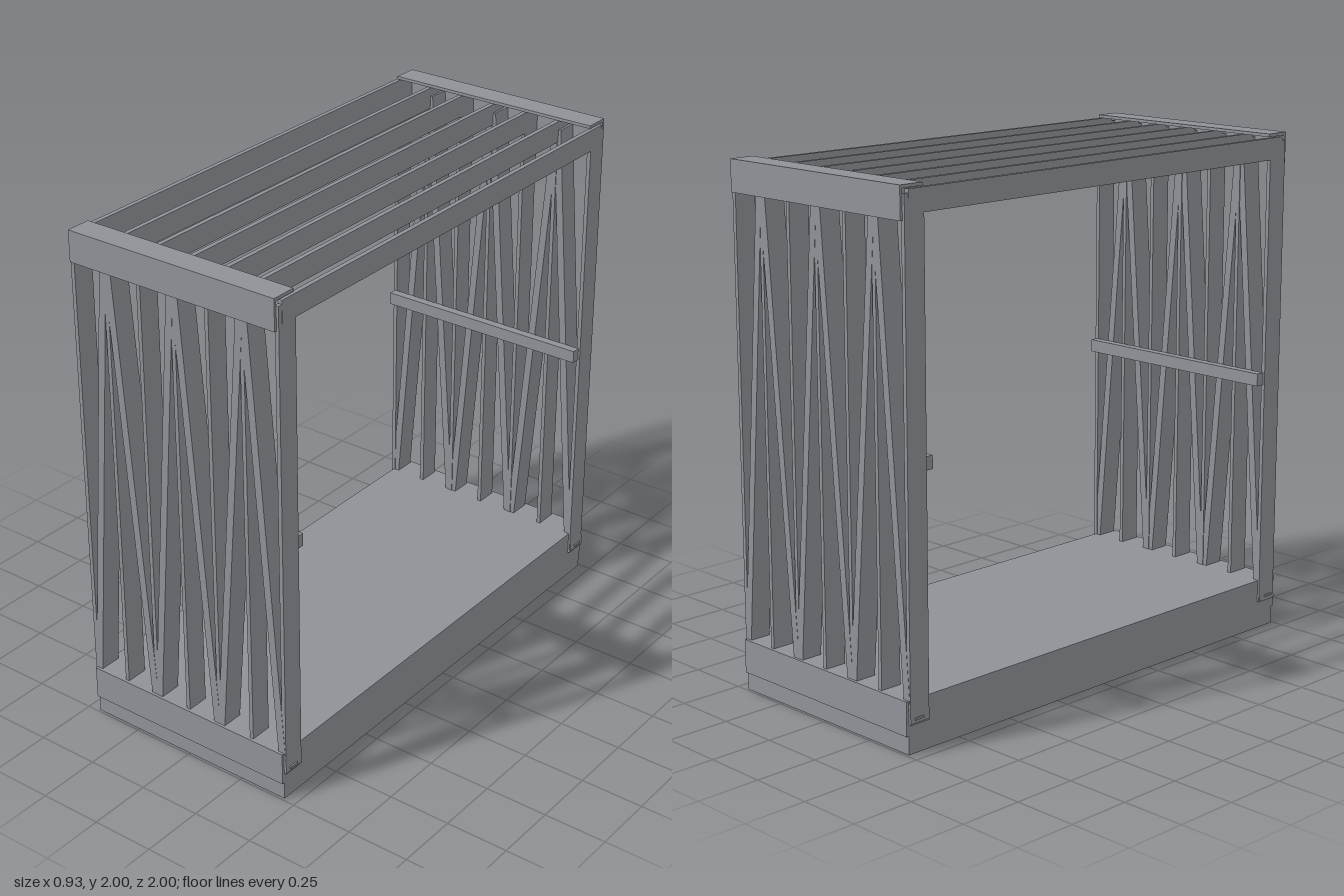
import * as THREE from 'three';

export function createModel() {
  const root = new THREE.Group();
  root.name = 'openFrame';
  const steel = new THREE.MeshStandardMaterial({ color: 0x8e9297 });
  steel.name = 'steelGrey';

  // Box given by its extents on each axis
  function bar(parent, name, [x0, x1], [y0, y1], [z0, z1]) {
    const mesh = new THREE.Mesh(new THREE.BoxGeometry(x1 - x0, y1 - y0, z1 - z0), steel);
    mesh.position.set((x0 + x1) / 2, (y0 + y1) / 2, (z0 + z1) / 2);
    mesh.name = name;
    parent.add(mesh);
    return mesh;
  }

  // Thick floor slab
  bar(root, 'floorSlab', [-0.45, 0.45], [0, 0.2], [-0.99, 0.99]);

  // Evenly spaced roof joists
  const columns = [-0.45, -0.3, -0.15, 0, 0.15, 0.3, 0.45];
  for (const x of columns) {
    bar(root, 'roofJoist', [x - 0.009, x + 0.009], [1.9, 1.985], [-0.97, 0.97]);
  }

  // One end wall, facing +z
  function endWall() {
    const wall = new THREE.Group();
    wall.name = 'endWall';

    // Vertical studs
    for (const x of columns) {
      bar(wall, 'stud', [x - 0.008, x + 0.008], [0.11, 1.97], [0.9, 0.988]);
    }

    // Zigzag braces, a mirrored pair meeting at each peak
    const slope = 0.13 / 1.68;
    const y0 = 0.115, y1 = 1.95;
    for (const peak of [-0.3, 0, 0.3]) {
      for (const side of [-1, 1]) {
        const height = y1 - y0;
        const brace = new THREE.Mesh(
          new THREE.BoxGeometry(0.03, height * Math.hypot(1, slope), 0.086), steel);
        const y = (y0 + y1) / 2;
        brace.position.set(peak + side * (0.01 + (1.88 - y) * slope), y, 0.946);
        brace.rotation.z = side * Math.atan(slope);
        brace.name = 'diagonalBrace';
        wall.add(brace);
      }
    }

    // Inner rail, lower band and angle cap
    bar(wall, 'innerRail', [-0.45, 0.45], [1.01, 1.06], [0.865, 0.9]);
    bar(wall, 'lowerBand', [-0.45, 0.45], [0.07, 0.2], [0.985, 1]);
    bar(wall, 'capFace', [-0.45, 0.45], [1.88, 2], [0.99, 1]);
    bar(wall, 'capTop', [-0.45, 0.45], [1.988, 2], [0.9, 0.995]);

    // Small tabs at the bottom corners
    for (const side of [-1, 1]) {
      bar(wall, 'cornerTab', [side * 0.455 - 0.011, side * 0.455 + 0.011], [0.128, 0.136], [0.93, 0.97]);
    }
    return wall;
  }

  const front = endWall();
  front.name = 'frontWall';
  const back = endWall();
  back.name = 'backWall';
  back.rotation.y = Math.PI;
  root.add(front, back);
  return root;
}
